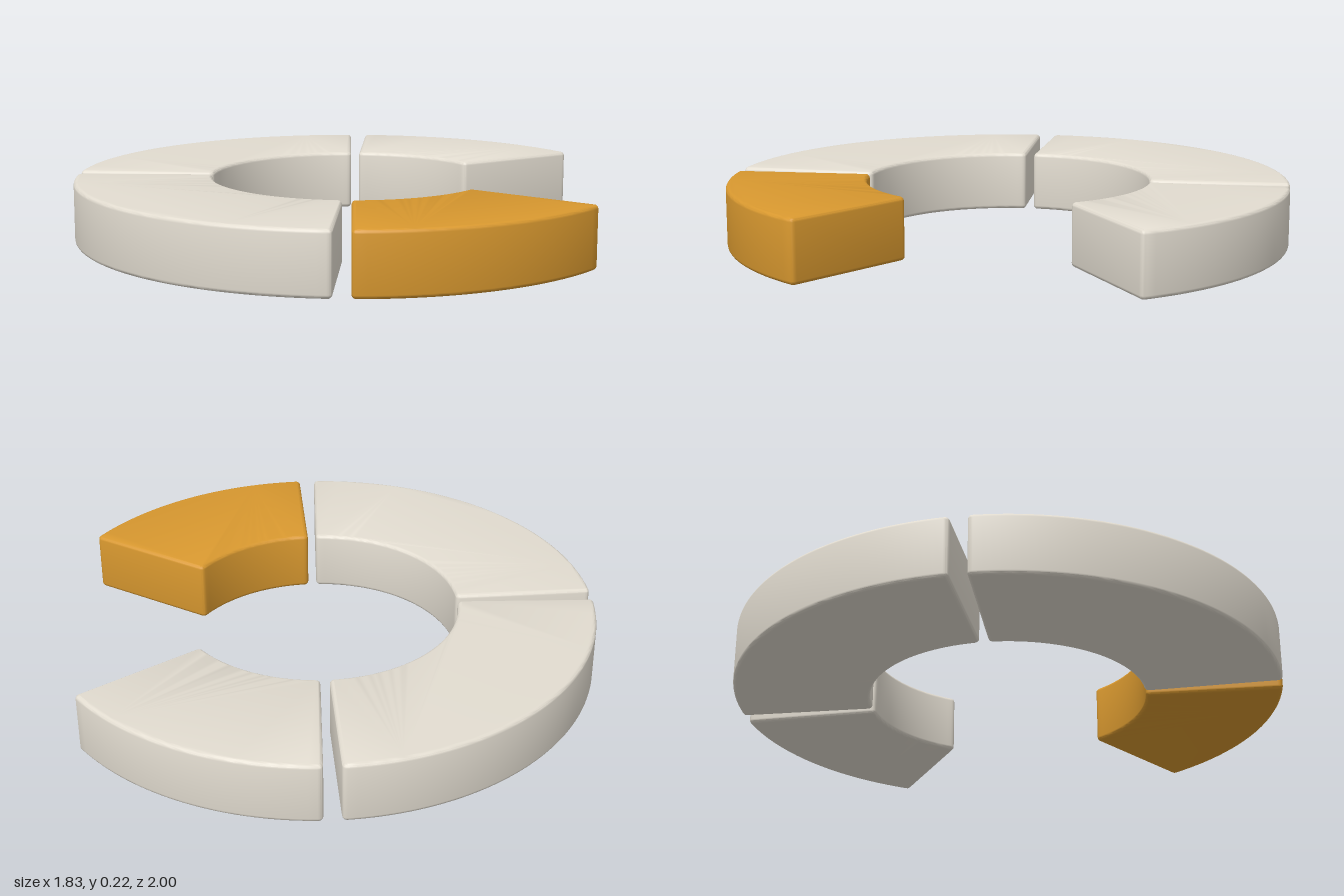
import * as THREE from 'three';
import { toCreasedNormals } from 'three/addons/utils/BufferGeometryUtils.js';

const OUTER = 1.0, INNER = 0.505, HEIGHT = 0.22, CENTRE_X = 0.085;
const BEVEL = 0.014, CORNER = 0.018;

// Ring sector outline with slightly rounded corners, counter-clockwise
function sectorShape(startDeg, endDeg) {
  const a0 = THREE.MathUtils.degToRad(startDeg);
  const a1 = THREE.MathUtils.degToRad(endDeg);
  const polar = (r, a) => new THREE.Vector2(r * Math.cos(a), r * Math.sin(a));
  const points = [];
  const arc = (r, from, to) => {
    const inset = Math.sign(to - from) * CORNER / r;
    const n = Math.ceil(Math.abs(to - from) * 32);
    for (let i = 0; i <= n; i++) {
      points.push(polar(r, THREE.MathUtils.lerp(from + inset, to - inset, i / n)));
    }
  };
  // Rounded turn at radius r, angle a, from one direction along the outline to the next
  const corner = (r, a, next) => {
    const curve = new THREE.QuadraticBezierCurve(points[points.length - 1].clone(), polar(r, a), next);
    points.push(...curve.getPoints(4).slice(1));
  };
  arc(OUTER, a0, a1);
  corner(OUTER, a1, polar(OUTER - CORNER, a1));
  points.push(polar(INNER + CORNER, a1));
  corner(INNER, a1, polar(INNER, a1 - CORNER / INNER));
  points.pop();
  arc(INNER, a1, a0);
  corner(INNER, a0, polar(INNER + CORNER, a0));
  points.push(polar(OUTER - CORNER, a0));
  corner(OUTER, a0, polar(OUTER, a0 + CORNER / OUTER));
  points.pop();
  return new THREE.Shape(points);
}

function sector(name, startDeg, endDeg, material) {
  const extruded = new THREE.ExtrudeGeometry(sectorShape(startDeg, endDeg), {
    depth: HEIGHT - 2 * BEVEL,
    bevelEnabled: true,
    bevelThickness: BEVEL,
    bevelSize: BEVEL,
    bevelOffset: -BEVEL,
    bevelSegments: 4,
  });
  extruded.translate(0, 0, BEVEL);
  extruded.rotateX(-Math.PI / 2);
  const mesh = new THREE.Mesh(toCreasedNormals(extruded, 0.7), material);
  mesh.name = name;
  mesh.position.x = CENTRE_X;
  return mesh;
}

export function createModel() {
  const group = new THREE.Group();
  group.name = 'segmentedRing';
  const pale = new THREE.MeshStandardMaterial({ color: 0xe2dcd0 });
  const gold = new THREE.MeshStandardMaterial({ color: 0xd8982f });

  // Two quarter sectors and two shorter ones, with narrow radial gaps
  const gap = 1.7, opening = 33.6;
  group.add(
    sector('backRightSector', opening, 90 - gap, pale),
    sector('backLeftSector', 90 + gap, 180 - gap, pale),
    sector('frontLeftSector', 180 + gap, 270 - gap, pale),
    sector('frontAccentSector', 270 + gap, 360 - opening, gold),
  );
  return group;
}
